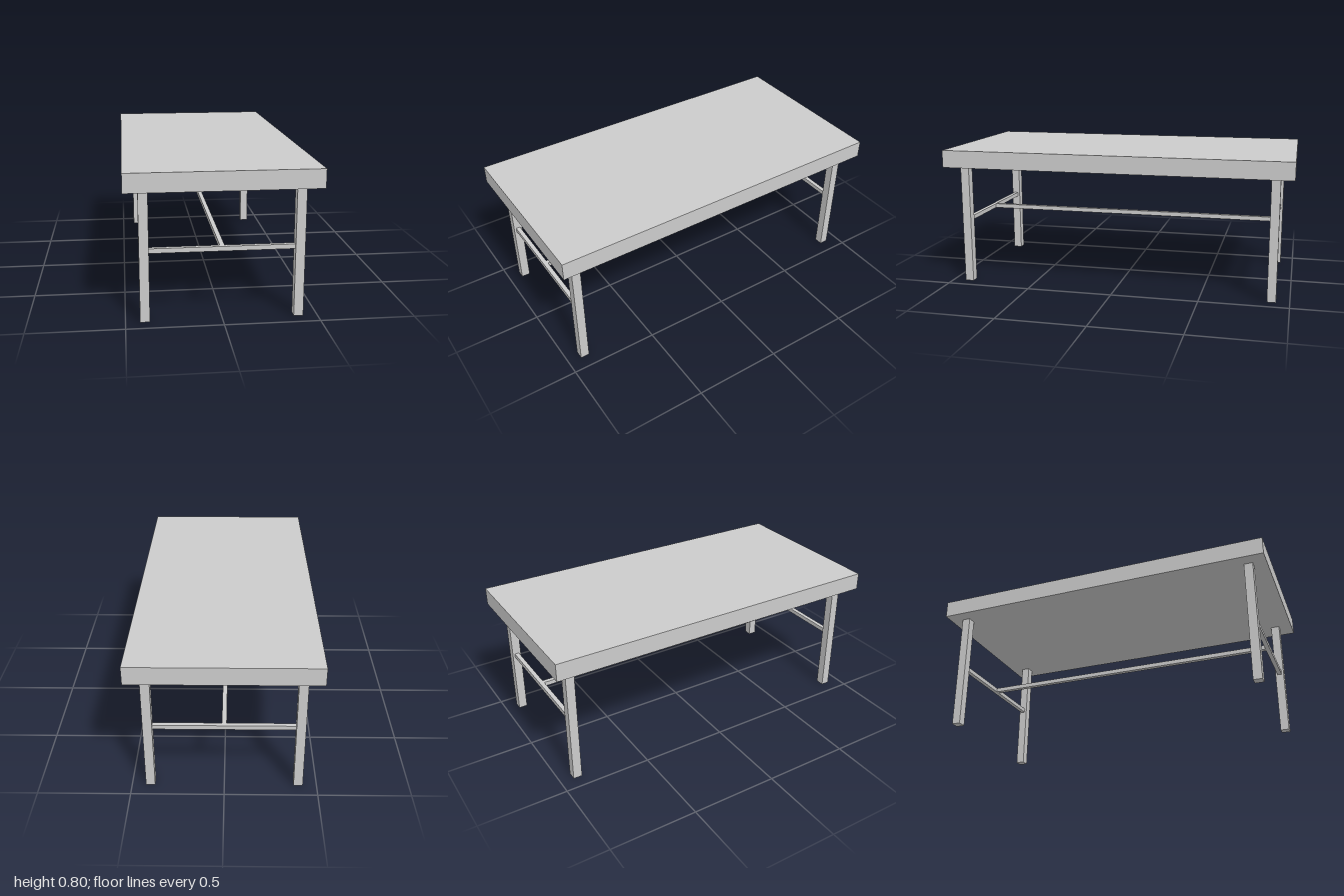
import * as THREE from 'three';

export function createModel() {
  const group = new THREE.Group();
  const material = new THREE.MeshStandardMaterial({ color: 0xcccccc, flatShading: true });

  function addBox(name, [w, h, d], [x, y, z]) {
    const mesh = new THREE.Mesh(new THREE.BoxGeometry(w, h, d), material);
    mesh.name = name;
    mesh.position.set(x, y, z);
    group.add(mesh);
  }

  const legX = 0.4, legZ = 0.9, leg = 0.05, topBase = 0.7;
  const bar = 0.025, barY = 0.3775;

  // Thick slab top
  addBox('tableTop', [1, 0.1, 2], [0, topBase + 0.05, 0]);

  for (const [end, sz] of [['front', 1], ['back', -1]]) {
    // Square legs at the corners
    for (const [side, sx] of [['Left', 1], ['Right', -1]]) {
      addBox(`${end}${side}Leg`, [leg, topBase, leg], [sx * legX, topBase / 2, sz * legZ]);
    }
    // Cross bar joining each pair of legs
    addBox(`${end}CrossBar`, [2 * legX - leg, bar, bar], [0, barY, sz * legZ]);
  }

  // Long stretcher between the two cross bars
  addBox('longStretcher', [bar, bar, 2 * legZ - bar], [0, barY, 0]);

  return group;
}
